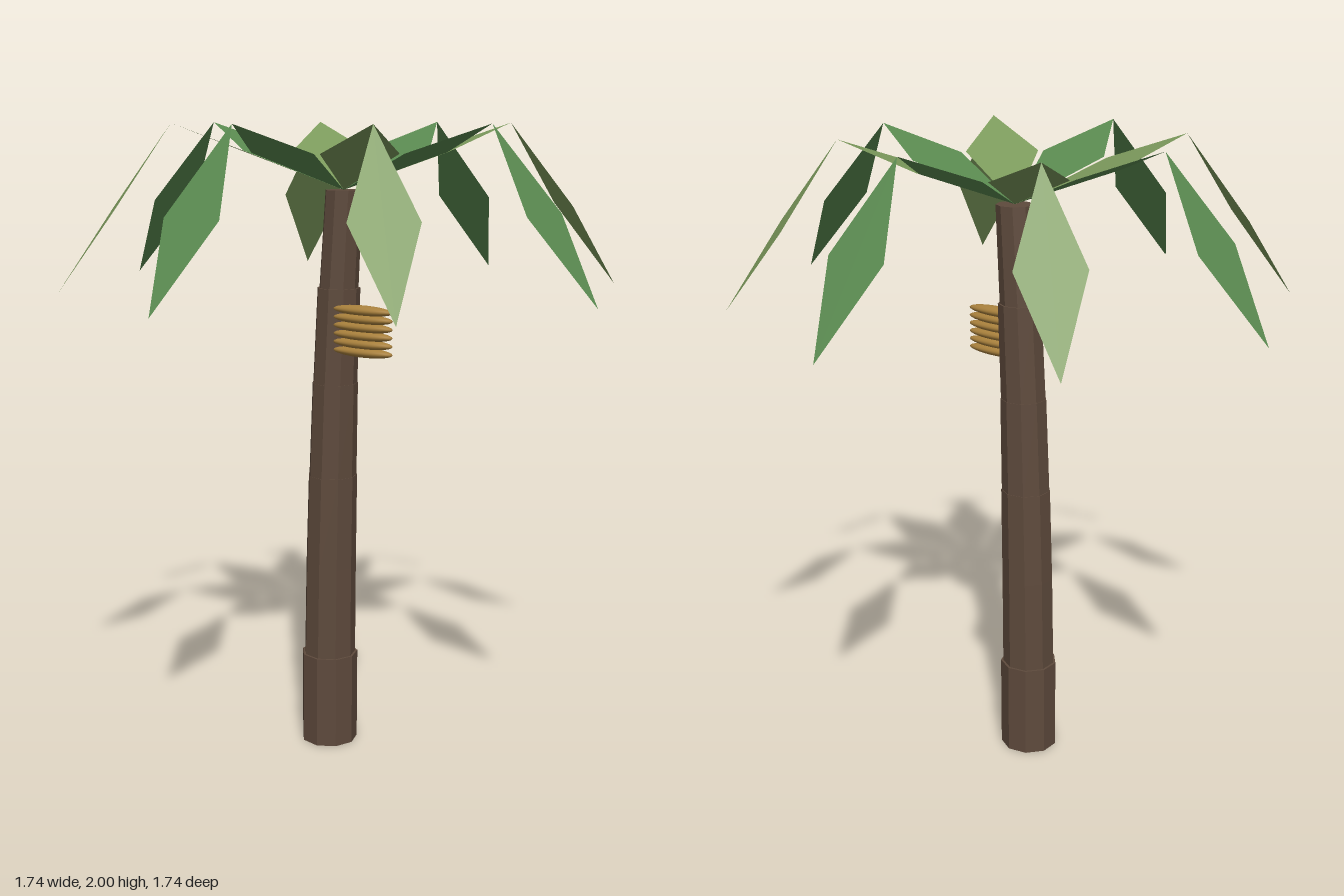
import * as THREE from 'three';

const mat = (color, extra = {}) => new THREE.MeshStandardMaterial({ color, ...extra });

// Flat diamond pointing along +z, from [z, y] root to [z, y] tip, widest at zMid
function diamond([z0, y0], [z1, y1], zMid, halfWidth) {
  const yMid = y0 + (y1 - y0) * (zMid - z0) / (z1 - z0);
  const geo = new THREE.BufferGeometry();
  geo.setAttribute('position', new THREE.Float32BufferAttribute([
    0, y0, z0, -halfWidth, yMid, zMid, 0, y1, z1, halfWidth, yMid, zMid], 3));
  geo.setIndex([0, 1, 2, 0, 2, 3]);
  geo.computeVertexNormals();
  return geo;
}

export function createModel() {
  const model = new THREE.Group();

  // Trunk: nine-sided stacked sections that lean towards +x, each slightly narrower
  const trunk = new THREE.Group();
  trunk.name = 'trunk';
  const bark = mat(0x5e4a3c, { flatShading: true });
  const centres = [-0.06, -0.058, -0.053, -0.045, -0.035, -0.02, 0];
  const radii = [[0.0915, 0.0915], [0.084, 0.082], [0.082, 0.079], [0.077, 0.073], [0.071, 0.068], [0.062, 0.058], [0.056, 0.05]];
  const step = 0.3;
  for (let i = 0; i < 6; i++) {
    const [bottom, top] = radii[i];
    const geo = new THREE.CylinderGeometry(top, bottom, step, 9);
    geo.rotateY(Math.PI / 2);
    const p = geo.attributes.position;
    for (let v = 0; v < p.count; v++) {
      const t = p.getY(v) / step + 0.5;
      p.setX(v, p.getX(v) + THREE.MathUtils.lerp(centres[i], centres[i + 1], t));
    }
    geo.translate(0, step * (i + 0.5), 0);
    geo.computeVertexNormals();
    const section = new THREE.Mesh(geo, bark);
    section.name = 'trunkSection';
    trunk.add(section);
  }
  model.add(trunk);

  // Crown: eight fronds, each a rising inner diamond and a drooping outer one
  const inner = diamond([0, 1.8], [0.52, 2], 0.3, 0.115);
  const outer = diamond([0.52, 2], [0.87, 1.5], 0.695, 0.1);
  const greens = [0x5a8a50, 0x7c9a5c].map(c => mat(c, { side: THREE.DoubleSide, flatShading: true }));
  for (let i = 0; i < 8; i++) {
    const frond = new THREE.Group();
    frond.name = 'frond';
    const innerLeaf = new THREE.Mesh(inner, greens[i % 2]);
    innerLeaf.name = 'innerLeaf';
    const outerLeaf = new THREE.Mesh(outer, greens[i % 2]);
    outerLeaf.name = 'outerLeaf';
    frond.add(innerLeaf, outerLeaf);
    frond.rotation.y = i * Math.PI / 4;
    model.add(frond);
  }

  // Shelf of stacked flat growths beside the trunk
  const stack = new THREE.Group();
  stack.name = 'fruitStack';
  const ochre = mat(0xa8803c);
  const disc = new THREE.SphereGeometry(1, 24, 12);
  for (let i = 0; i < 6; i++) {
    const layer = new THREE.Mesh(disc, ochre);
    layer.name = 'fruitLayer';
    layer.scale.set(0.11, 0.016, 0.026);
    layer.position.set(0.11, 1.316 + i * 0.0255, 0.053);
    stack.add(layer);
  }
  model.add(stack);

  return model;
}
